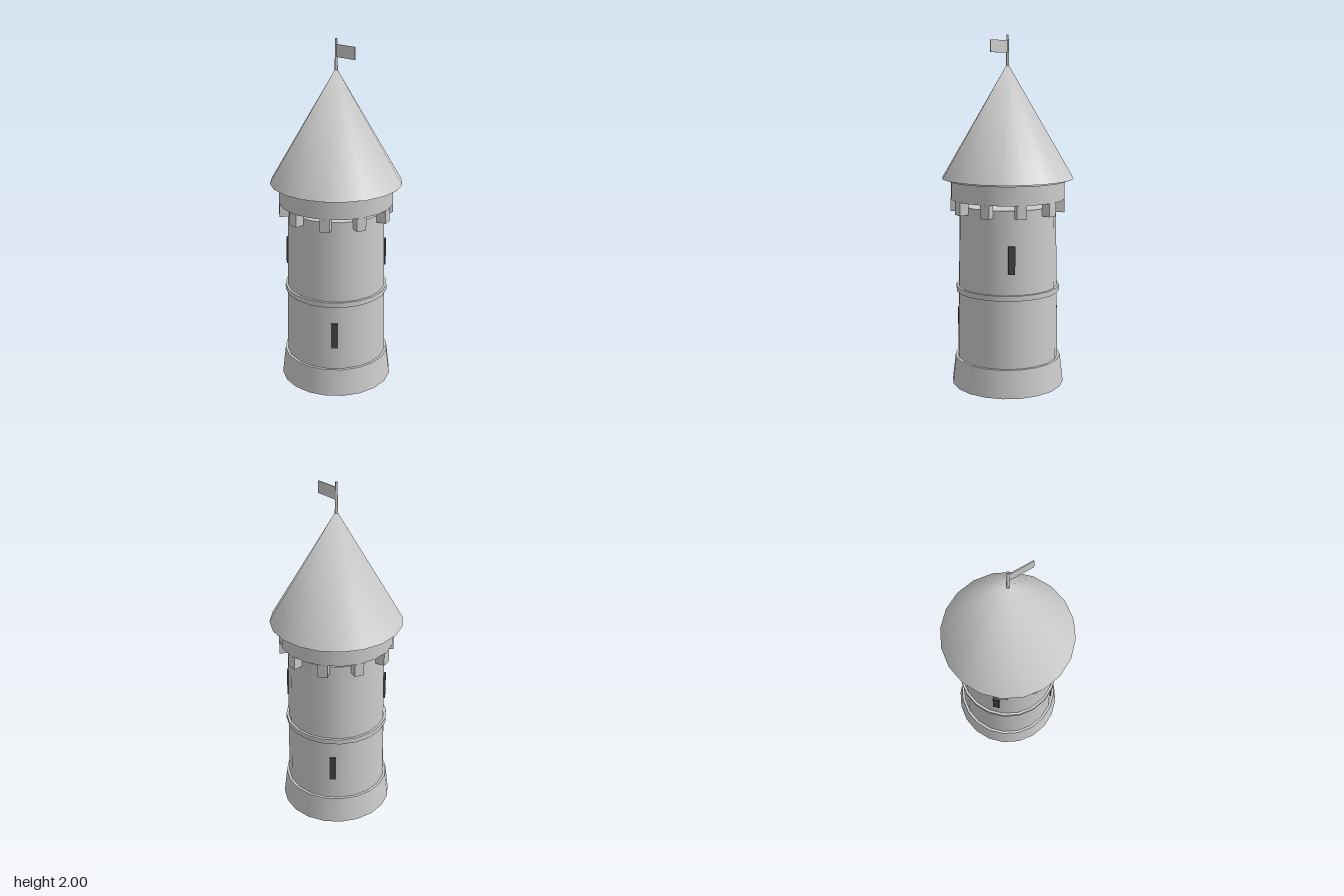
import * as THREE from 'three';
import { mergeVertices } from 'three/addons/utils/BufferGeometryUtils.js';

const SIDES = 20;

export function createModel() {
  const tower = new THREE.Group();
  tower.name = 'tower';
  const stone = new THREE.MeshStandardMaterial({ color: 0xcccccc });
  const dark = new THREE.MeshStandardMaterial({ color: 0x444444 });

  function add(name, geometry, material = stone, parent = tower) {
    const mesh = new THREE.Mesh(geometry, material);
    mesh.name = name;
    parent.add(mesh);
    return mesh;
  }

  // round section standing between two heights
  function drum(name, rBottom, rTop, y0, y1, sides = SIDES) {
    const g = new THREE.CylinderGeometry(rTop, rBottom, y1 - y0, sides);
    return add(name, g.translate(0, (y0 + y1) / 2, 0));
  }

  // box facing outward at an angle around the tower
  function radialBox(name, angle, width, height, rInner, rOuter, y, material, parent) {
    const g = new THREE.BoxGeometry(width, height, rOuter - rInner);
    g.translate(0, y, (rInner + rOuter) / 2);
    add(name, g, material, parent).rotation.y = angle;
  }

  // masonry shaft
  drum('plinth', 0.326, 0.307, 0, 0.16);
  drum('shaft', 0.292, 0.277, 0.16, 1.05);
  drum('stringCourse', 0.299, 0.299, 0.55, 0.58);

  // overhanging upper storey on corbels
  drum('gallery', 0.326, 0.326, 1.083, 1.195);
  drum('cornice', 0.343, 0.343, 1.188, 1.199);
  const corbels = new THREE.Group();
  corbels.name = 'corbels';
  tower.add(corbels);
  for (let i = 0; i < 10; i++) {
    radialBox('corbel', (i * Math.PI) / 5, 0.055, 0.075, 0.271, 0.326, 1.046, stone, corbels);
  }

  // arrow slits, low and high on alternating diagonals
  const slits = new THREE.Group();
  slits.name = 'arrowSlits';
  tower.add(slits);
  for (let i = 0; i < 4; i++) {
    const y = i % 2 ? 0.777 : 0.368;
    radialBox('arrowSlit', Math.PI / 4 + (i * Math.PI) / 2, 0.038, 0.155, 0.25, 0.289, y, dark, slits);
  }

  // conical roof with one shared apex so it shades smoothly
  let cone = new THREE.ConeGeometry(0.376, 0.645, SIDES, 1, true);
  cone.deleteAttribute('uv');
  cone.deleteAttribute('normal');
  cone = mergeVertices(cone);
  cone.computeVertexNormals();
  add('roof', cone.translate(0, 1.5225, 0));
  const soffit = new THREE.CircleGeometry(0.376, SIDES);
  add('roofUnderside', soffit.rotateX(Math.PI / 2).translate(0, 1.2, 0));

  // flag
  drum('flagpole', 0.009, 0.006, 1.82, 2, 8);
  add('flag', new THREE.BoxGeometry(0.142, 0.068, 0.006).translate(0.074, 1.936, 0));

  return tower;
}
